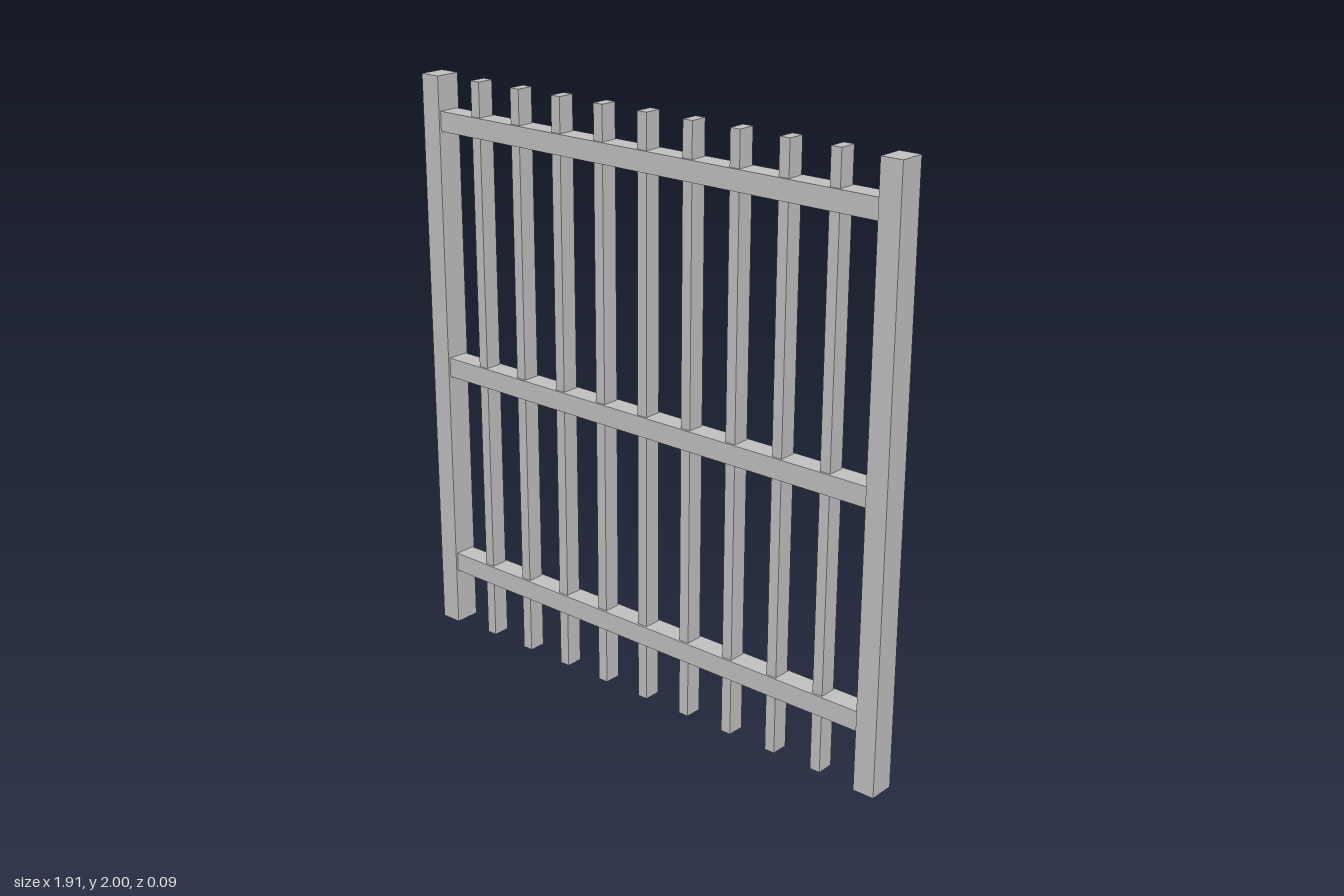
import * as THREE from 'three';

export function createModel() {
  const group = new THREE.Group();
  group.name = 'barredGate';
  const steel = new THREE.MeshStandardMaterial({ color: 0xc0c0c0 });
  steel.name = 'grey steel';

  const addBeam = (name, size, x, y) => {
    const mesh = new THREE.Mesh(new THREE.BoxGeometry(...size), steel);
    mesh.name = name;
    mesh.position.set(x, y, 0);
    group.add(mesh);
  };

  // Side posts
  addBeam('leftPost', [0.075, 2, 0.09], 0.918, 1);
  addBeam('rightPost', [0.075, 2, 0.09], -0.918, 1);

  // Horizontal rails between the posts
  const rails = { bottomRail: 0.237, middleRail: 0.982, topRail: 1.848 };
  for (const [name, y] of Object.entries(rails)) {
    addBeam(name, [1.762, 0.068, 0.075], 0, y);
  }

  // Nine evenly spaced upright bars passing through the rails
  for (let i = -4; i <= 4; i++) {
    addBeam(`bar${i + 5}`, [0.037, 2, 0.06], i * 0.1805, 1);
  }

  return group;
}
